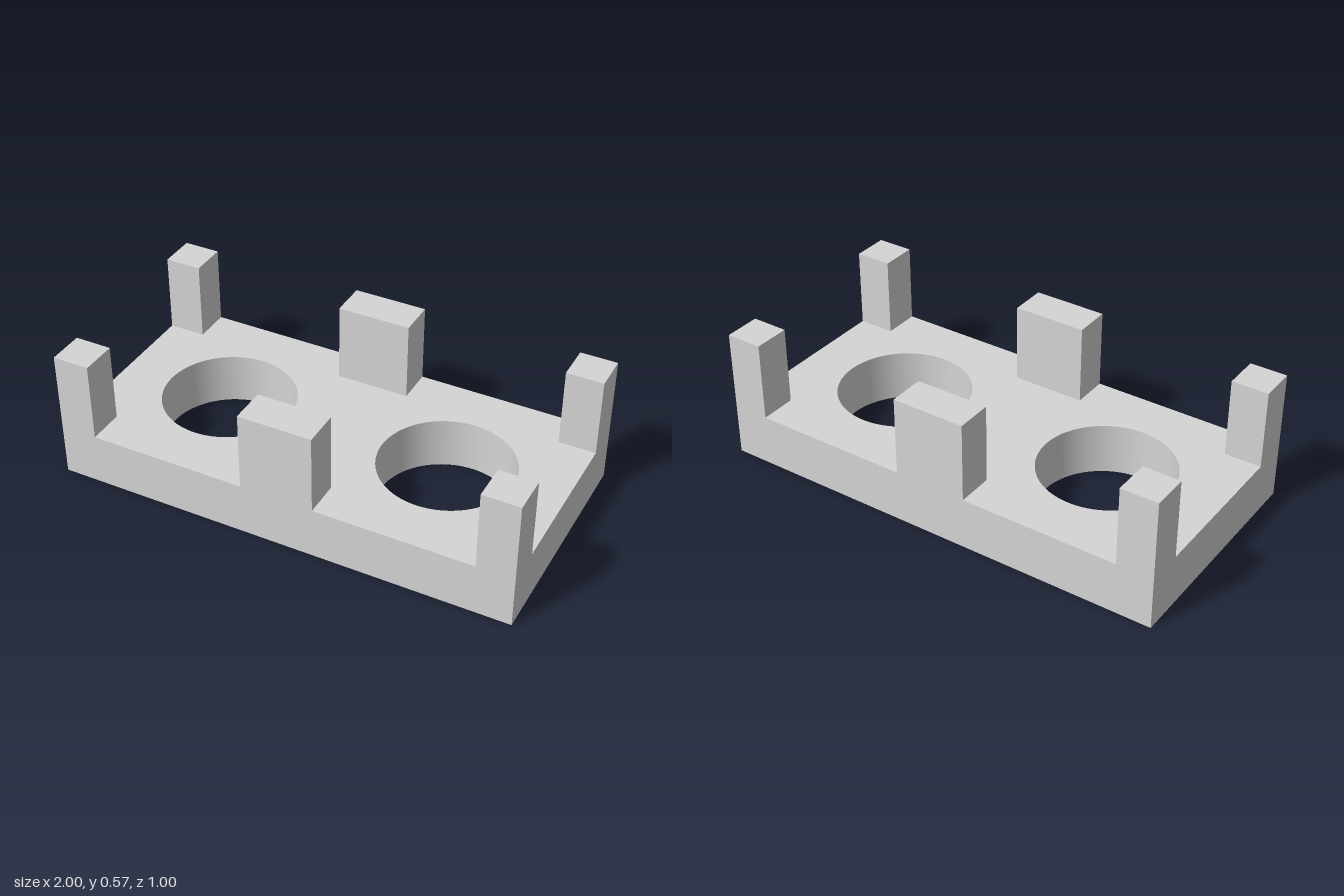
import * as THREE from 'three';
import { toCreasedNormals } from 'three/addons/utils/BufferGeometryUtils.js';

export function createModel() {
  const model = new THREE.Group();
  model.name = 'twoHoleTray';
  const grey = new THREE.MeshStandardMaterial({ color: 0xd5d5d5 });
  grey.name = 'lightGrey';

  const baseHeight = 0.227, totalHeight = 0.57, post = 0.159;

  // Base slab with two round through-holes
  const outline = new THREE.Shape([
    new THREE.Vector2(-1, -0.5), new THREE.Vector2(1, -0.5),
    new THREE.Vector2(1, 0.5), new THREE.Vector2(-1, 0.5),
  ]);
  for (const x of [-0.5, 0.5]) {
    outline.holes.push(new THREE.Path().absarc(x, 0, 0.285, 0, Math.PI * 2, true));
  }
  const slab = new THREE.ExtrudeGeometry(outline, {
    depth: baseHeight, bevelEnabled: false, curveSegments: 64,
  });
  slab.rotateX(-Math.PI / 2);
  const base = new THREE.Mesh(toCreasedNormals(slab, 0.6), grey);
  base.name = 'base';
  model.add(base);

  // Upright posts along both long edges: square at corners, double width in the middle
  const height = totalHeight - baseHeight;
  for (const side of [-1, 1]) {
    for (const end of [-1, 0, 1]) {
      const width = end === 0 ? post * 2 : post;
      const mesh = new THREE.Mesh(new THREE.BoxGeometry(width, height, post), grey);
      mesh.position.set(end * (1 - post / 2), baseHeight + height / 2, side * (0.5 - post / 2));
      mesh.name = end === 0 ? 'middlePost' : 'cornerPost';
      model.add(mesh);
    }
  }
  return model;
}
